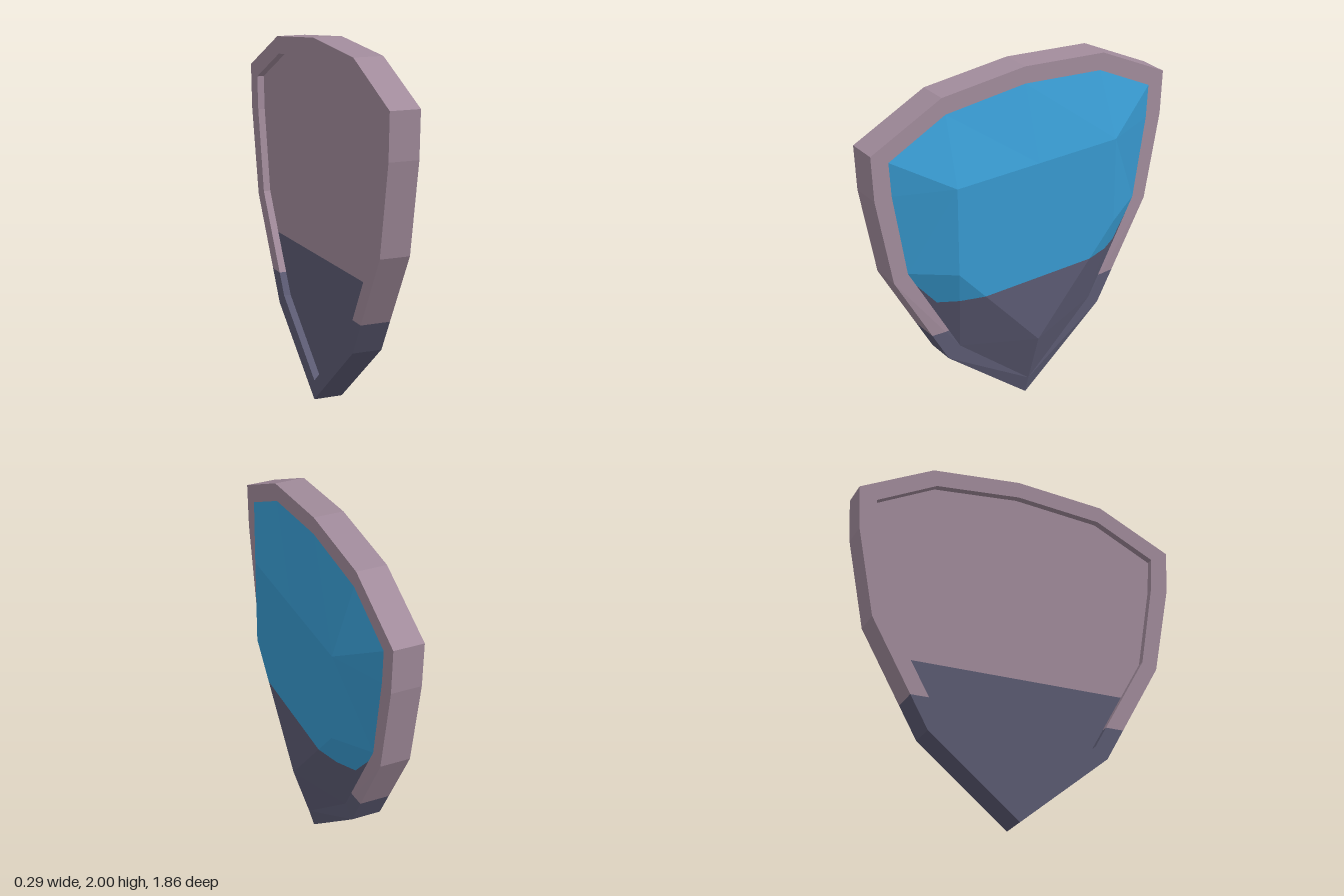
import * as THREE from 'three';

const mauve = new THREE.MeshStandardMaterial({ name: 'mauve', color: 0xa28c9c });
const slate = new THREE.MeshStandardMaterial({ name: 'slate', color: 0x5c5b73 });
const blue = new THREE.MeshStandardMaterial({ name: 'blue', color: 0x389ad0 });

const FRONT = 0.015, BACK = -0.15, RECESS = -0.11;

// Half outlines as [z, y], from the top centre down to the bottom tip
const outer = [[0, 2], [0.51, 1.955], [0.93, 1.75], [0.92, 1.5], [0.83, 1], [0.51, 0.42], [0, 0]];
const inner = [[0, 1.905], [0.49, 1.86], [0.83, 1.69], [0.82, 1.5], [0.745, 1.03], [0.44, 0.48], [0, 0.11]];

const v = (x, [z, y]) => new THREE.Vector3(x, y, z);

// Adds a polygon and its mirror image, both wound to face the hint direction
function addPair(list, points, hint) {
  const a = points[1].clone().sub(points[0]);
  const b = points[2].clone().sub(points[0]);
  const poly = a.cross(b).dot(hint) < 0 ? [...points].reverse() : points;
  list.push(poly);
  list.push(poly.map(p => new THREE.Vector3(p.x, p.y, -p.z)).reverse());
}

// Keeps the part of a convex polygon where f is positive
function clip(poly, f) {
  const out = [];
  poly.forEach((p, i) => {
    const q = poly[(i + 1) % poly.length], fp = f(p), fq = f(q);
    if (fp >= 0) out.push(p);
    if (fp * fq < 0) out.push(p.clone().lerp(q, fp / (fp - fq)));
  });
  return out.length > 2 ? out : [];
}

// Flat shaded mesh from convex polygons
function polyMesh(name, polys, material) {
  const pos = [];
  for (const p of polys)
    for (let i = 1; i < p.length - 1; i++)
      for (const c of [p[0], p[i], p[i + 1]]) pos.push(c.x, c.y, c.z);
  const geo = new THREE.BufferGeometry();
  geo.setAttribute('position', new THREE.Float32BufferAttribute(pos, 3));
  geo.computeVertexNormals();
  const mesh = new THREE.Mesh(geo, material);
  mesh.name = name;
  return mesh;
}

// Two-coloured part divided at a given height
function splitPart(name, polys, height, upper, lower) {
  const group = new THREE.Group();
  group.name = name;
  group.add(
    polyMesh(name + 'Upper', polys.map(p => clip(p, c => c.y - height)), upper),
    polyMesh(name + 'Lower', polys.map(p => clip(p, c => height - c.y)), lower));
  return group;
}

export function createModel() {
  const model = new THREE.Group();
  model.name = 'shield';
  const toFront = new THREE.Vector3(1, 0, 0), toBack = new THREE.Vector3(-1, 0, 0);

  // Rim: front face, outer edge, back face and recess wall
  const outF = outer.map(p => v(FRONT, p)), outB = outer.map(p => v(BACK, p));
  const inB = inner.map(p => v(BACK, p)), inR = inner.map(p => v(RECESS, p));
  const inF = inner.map((p, i) => v([FRONT, FRONT, FRONT, FRONT, FRONT, 0.022, 0.045][i], p));
  const rim = [];
  for (let i = 0; i < outer.length - 1; i++) {
    const j = i + 1;
    const outward = new THREE.Vector3(0, outer[i][1] + outer[j][1] - 2.2, outer[i][0] + outer[j][0]);
    addPair(rim, [outF[i], outF[j], inF[j]], toFront);
    addPair(rim, [outF[i], inF[j], inF[i]], toFront);
    addPair(rim, [outF[i], outF[j], outB[j], outB[i]], outward);
    addPair(rim, [outB[i], outB[j], inB[j], inB[i]], toBack);
    addPair(rim, [inB[i], inB[j], inR[j], inR[i]], outward.clone().negate());
  }
  model.add(splitPart('rim', rim, 0.6, mauve, slate));

  // Recessed back panel
  const panel = [];
  addPair(panel, inR, toBack);
  model.add(splitPart('backPanel', panel, 0.81, mauve, slate));

  // Faceted front boss with a flat plateau
  const [T, U, V, W, X, Y, Z] = inF;
  const top = v(0.14, [0, 1.5]), A = v(0.14, [0.51, 1.5]);
  const B = v(0.14, [0.51, 1]), C = v(0.14, [0, 0.42]);
  const boss = [];
  for (const facet of [
    [top, A, B, C], [top, T, U, A], [A, U, V], [A, V, W], [A, W, X], [A, X, B],
    [B, X, Y], [B, Y, C], [C, Y, Z],
  ]) addPair(boss, facet, toFront);

  // Blue field, with its lower corners cut off at a slant
  const level = c => c.y - 0.815;
  const slant = c => c.y - 0.815 - 1.2 * (Math.abs(c.z) - 0.59);
  const above = boss.map(p => clip(p, level));
  model.add(
    polyMesh('bossField', above.map(p => clip(p, slant)), blue),
    polyMesh('bossCorners', above.map(p => clip(p, c => -slant(c))).filter(p => p.every(c => c.y < 1.04)), slate),
    polyMesh('bossPoint', boss.map(p => clip(p, c => -level(c))), slate));
  return model;
}
